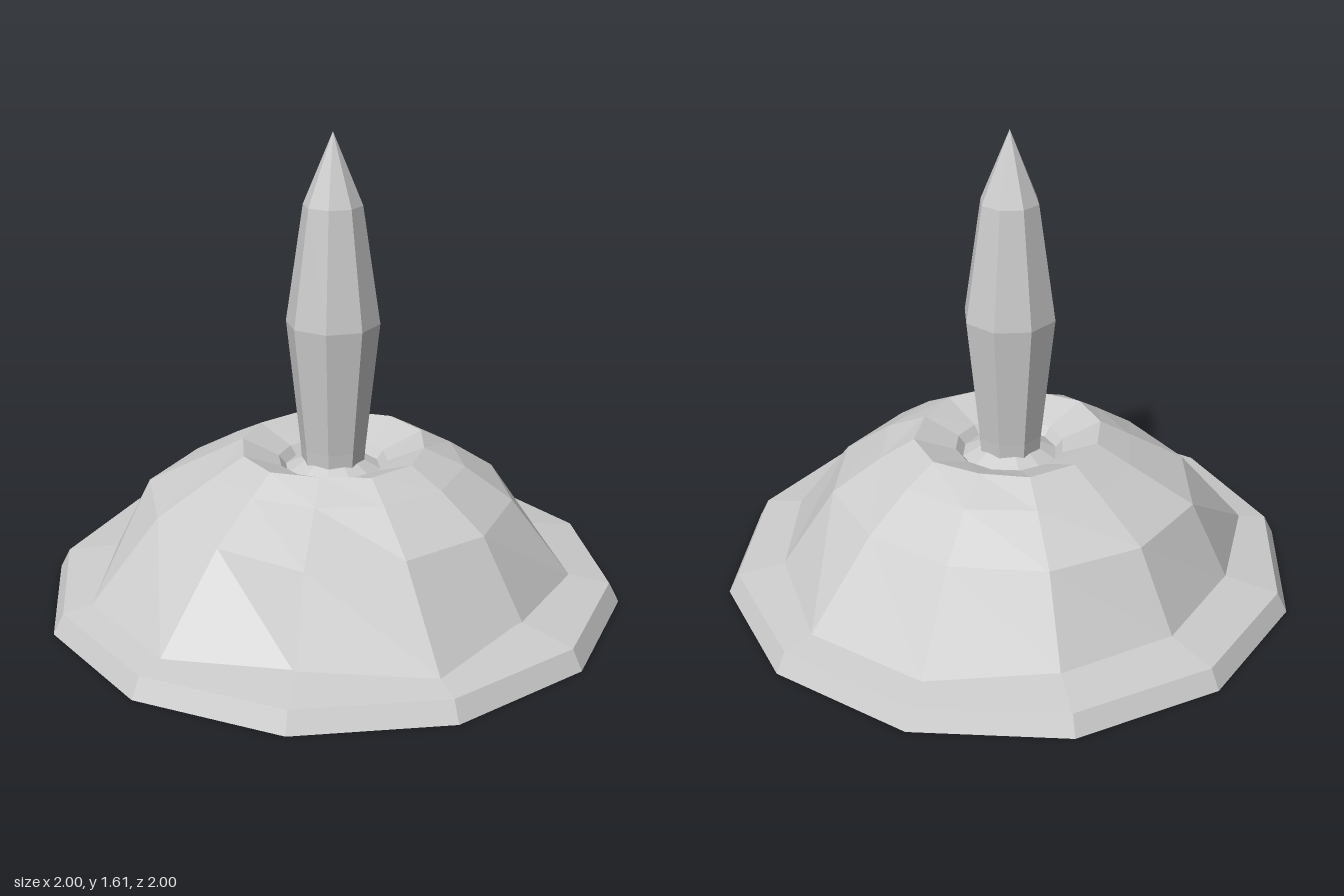
import * as THREE from 'three';

const stone = new THREE.MeshStandardMaterial({ color: 0xcccccc, flatShading: true });
stone.name = 'paleGrey';

// Faceted solid of revolution from [radius, height] pairs, bottom to top
function turned(name, profile, sides) {
  const points = profile.map(([r, y]) => new THREE.Vector2(r, y));
  const mesh = new THREE.Mesh(new THREE.LatheGeometry(points, sides), stone);
  mesh.name = name;
  return mesh;
}

// Uneven 12-sided mound: each ring has its own radius at every 30 degrees from +z towards +x
function mound() {
  const rings = [
    { y: 0.085, r: [0.80, 0.87, 0.785, 0.83, 0.81, 0.86, 0.86, 0.81, 0.80, 0.79, 0.865, 0.87] },
    { y: 0.36, r: [0.65, 0.61, 0.62, 0.62, 0.62, 0.61, 0.62, 0.63, 0.64, 0.655, 0.63, 0.60] },
    { y: 0.475, r: [0.42, 0.44, 0.45, 0.455, 0.45, 0.45, 0.455, 0.45, 0.44, 0.43, 0.43, 0.43] },
    { y: 0.535, r: [0.31, 0.335, 0.33, 0.315, 0.335, 0.34, 0.32, 0.335, 0.325, 0.315, 0.325, 0.335] },
  ];
  const inner = [[0.19, 0.48], [0.165, 0.45], [0.1, 0.485], [0, 0.485]];
  const mesh = turned('mound', [...rings.map(({ y, r }) => [r[0], y]), ...inner], 12);
  const pos = mesh.geometry.attributes.position;
  const perColumn = rings.length + inner.length;
  for (let i = 0; i <= 12; i++) {
    const a = (i * Math.PI) / 6;
    rings.forEach(({ y, r }, j) => {
      const radius = r[i % 12];
      pos.setXYZ(i * perColumn + j, Math.sin(a) * radius, y, Math.cos(a) * radius);
    });
  }
  mesh.geometry.computeVertexNormals();
  return mesh;
}

export function createModel() {
  const model = new THREE.Group();
  model.name = 'spikeOnMound';

  // Bevelled base plate with a closed underside
  model.add(turned('basePlate', [[0, 0], [1, 0], [0.965, 0.068], [0.78, 0.1], [0, 0.1]], 12));

  // Mound with a sunken crater at the top
  model.add(mound());

  // Eight-sided spike standing in the crater
  model.add(turned('spike', [[0, 0.46], [0.108, 0.46], [0.113, 0.53], [0.16, 0.97], [0.1, 1.37], [0, 1.61]], 8));

  return model;
}
